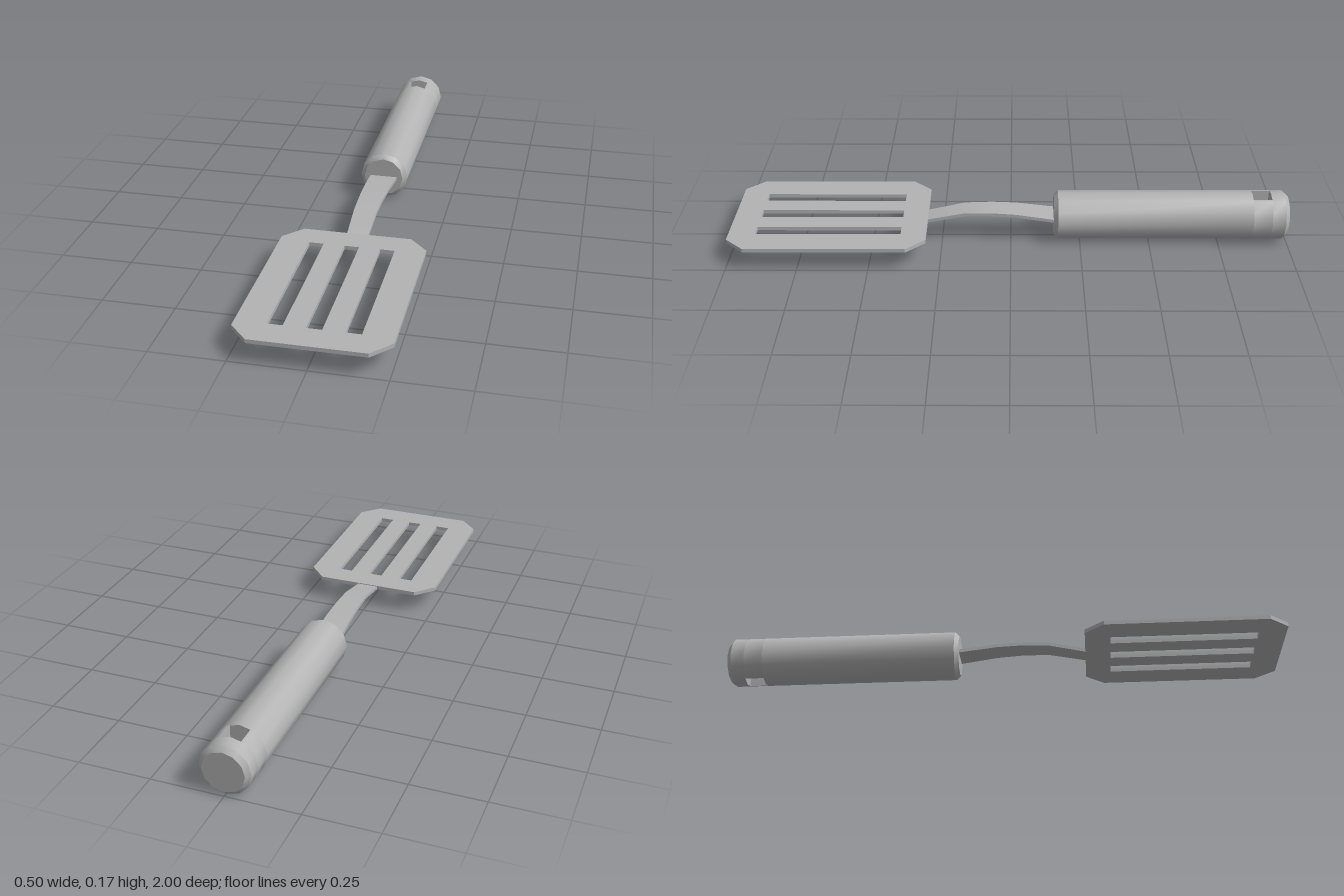
import * as THREE from 'three';
import { toCreasedNormals } from 'three/addons/utils/BufferGeometryUtils.js';

const R = 0.0875;                       // handle radius and height of its axis
const HOLE = { x: 0.034, front: -0.87, back: -0.937 };

const v = (x, y) => new THREE.Vector2(x, y);
const rect = (x0, y0, x1, y1) => [v(x0, y0), v(x0, y1), v(x1, y1), v(x1, y0)];

export function createModel() {
  const group = new THREE.Group();
  const grey = new THREE.MeshStandardMaterial({ color: 0xb3b3b3 });

  const add = (name, geometry, parent = group) => {
    const mesh = new THREE.Mesh(toCreasedNormals(geometry, 0.6), grey);
    mesh.name = name;
    parent.add(mesh);
  };

  // Blade: chamfered plate with three slots
  const blade = new THREE.Shape([
    v(-0.187, 0.3), v(0.187, 0.3), v(0.25, 0.367), v(0.25, 0.933),
    v(0.187, 1), v(-0.187, 1), v(-0.25, 0.933), v(-0.25, 0.367),
  ]);
  for (const x of [-0.122, 0, 0.122]) {
    blade.holes.push(new THREE.Path(rect(x - 0.025, 0.39, x + 0.025, 0.905)));
  }
  const bladeGeometry = new THREE.ExtrudeGeometry(blade, { depth: 0.014, bevelEnabled: false });
  bladeGeometry.rotateX(Math.PI / 2).translate(0, 0.087, 0);
  add('blade', bladeGeometry);

  // Neck: bent strip that widens towards the handle
  const bend = [[-0.2, 0.086], [-0.155, 0.091], [-0.02, 0.109], [0.07, 0.114], [0.166, 0.112], [0.305, 0.083]];
  const neck = new THREE.Shape([
    ...bend.map(([z, y]) => v(z, y - 0.012)),
    ...bend.map(([z, y]) => v(z, y)).reverse(),
  ]);
  const neckGeometry = new THREE.ExtrudeGeometry(neck, { depth: 2, bevelEnabled: false });
  neckGeometry.translate(0, 0, -1).rotateY(-Math.PI / 2);
  const p = neckGeometry.attributes.position;
  for (let i = 0; i < p.count; i++) {
    const t = (0.3 - p.getZ(i)) / 0.46;
    p.setX(i, p.getX(i) * (0.037 + 0.013 * t));
  }
  add('neck', neckGeometry);

  // Handle: twelve-sided bar with bevelled ends, pierced by a square hanging hole
  const handle = new THREE.Group();
  handle.name = 'handle';
  handle.position.y = R;
  group.add(handle);

  const turned = (name, profile) => {
    const points = profile.map(([r, z]) => v(r, -z));
    add(name, new THREE.LatheGeometry(points, 12).rotateX(-Math.PI / 2), handle);
  };
  turned('handleGrip', [[0, -0.155], [0.072, -0.155], [R, -0.17], [R, HOLE.front], [0, HOLE.front]]);
  turned('handleEnd', [[0, HOLE.back], [R, HOLE.back], [R, -0.985], [0.072, -1], [0, -1]]);

  // Solid sides left and right of the hanging hole
  const cutY = R - (HOLE.x / (R / 2)) * R * (1 - Math.cos(Math.PI / 6));
  for (const side of [-1, 1]) {
    const outline = [v(side * HOLE.x, -cutY)];
    for (let k = 5; k >= 1; k--) {
      const a = (k * Math.PI) / 6;
      outline.push(v(side * R * Math.sin(a), R * Math.cos(a)));
    }
    outline.push(v(side * HOLE.x, cutY));
    const geometry = new THREE.ExtrudeGeometry(new THREE.Shape(outline), {
      depth: HOLE.front - HOLE.back, bevelEnabled: false,
    });
    add(side > 0 ? 'holeSideLeft' : 'holeSideRight', geometry.translate(0, 0, HOLE.back), handle);
  }

  return group;
}
